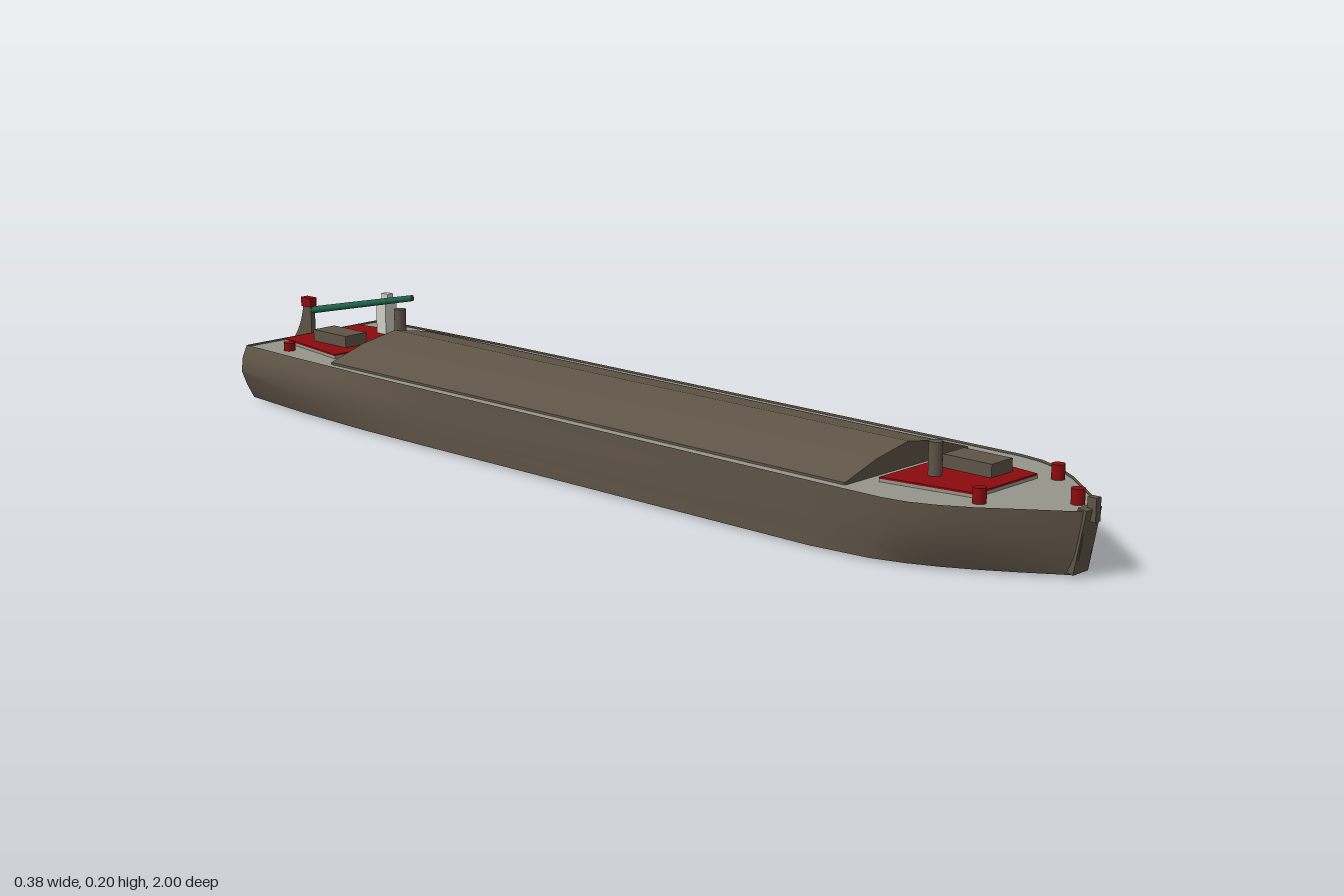
import * as THREE from 'three';
import { toCreasedNormals } from 'three/addons/utils/BufferGeometryUtils.js';

const mat = (name, color, side = THREE.FrontSide) => {
  const m = new THREE.MeshStandardMaterial({ color, side });
  m.name = name;
  return m;
};

export function createModel() {
  const group = new THREE.Group();
  const brown = mat('hullBrown', 0x5f5447, THREE.DoubleSide);
  const grey = mat('deckGrey', 0x95958b, THREE.DoubleSide);
  const red = mat('deckRed', 0x8c0b0f);
  const green = mat('tillerGreen', 0x1f604a);
  const white = mat('paleWhite', 0xcfcfc4);

  const add = (name, geo, material, x = 0, y = 0, z = 0) => {
    const m = new THREE.Mesh(geo, material);
    m.name = name;
    m.position.set(x, y, z);
    group.add(m);
    return m;
  };
  const box = (name, material, x0, x1, y0, y1, z0, z1) =>
    add(name, new THREE.BoxGeometry(x1 - x0, y1 - y0, z1 - z0), material,
      (x0 + x1) / 2, (y0 + y1) / 2, (z0 + z1) / 2);
  const post = (name, material, x, z, r, y0, y1) =>
    add(name, new THREE.CylinderGeometry(r, r, y1 - y0, 16), material, x, (y0 + y1) / 2, z);
  // flat outline given as [x, z], raised from y0 to y1
  const slab = (name, material, pts, y0, y1) => {
    const s = new THREE.Shape(pts.map(([x, z]) => new THREE.Vector2(x, -z)));
    const g = new THREE.ExtrudeGeometry(s, { depth: y1 - y0, bevelEnabled: false });
    return add(name, g.rotateX(-Math.PI / 2), material, 0, y0, 0);
  };

  // Hull stations: z and half width at the top, z and half width at the bottom, side bulge, centre shift
  const stations = [
    [-0.845, 0.169, -0.845, 0.155, 0.018, 0],
    [-0.67, 0.176, -0.67, 0.172, 0.013, 0],
    [-0.49, 0.181, -0.49, 0.181, 0.009, 0],
    [-0.30, 0.182, -0.30, 0.182, 0, 0],
    [0.58, 0.182, 0.58, 0.182, 0, 0],
    [0.72, 0.181, 0.69, 0.170, 0, 0],
    [0.765, 0.174, 0.75, 0.152, 0.003, 0],
    [0.81, 0.156, 0.80, 0.130, 0.004, 0],
    [0.86, 0.125, 0.85, 0.101, 0.004, -0.002],
    [0.91, 0.085, 0.90, 0.067, 0.003, -0.005],
    [0.96, 0.046, 0.94, 0.036, 0.002, -0.009],
    [0.99, 0.018, 0.968, 0.014, 0, -0.013],
  ];
  const base = 0.004, rim = 0.109;
  const levels = [1, 0.78, 0.53, 0.27, 0];
  const bulgeAt = [0, 0.7, 1, 0.55, 0];
  const n = levels.length * 2;
  const pos = [], idx = [];
  stations.forEach(([zt, wt, zb, wb, bulge, cx]) => {
    const half = levels.map((t, i) => {
      const e = Math.pow(t, 0.6);
      return [wb + (wt - wb) * e + bulge * bulgeAt[i], base + (rim - base) * t, zb + (zt - zb) * e];
    });
    half.forEach(([w, y, z]) => pos.push(cx + w, y, z));
    [...half].reverse().forEach(([w, y, z]) => pos.push(cx - w, y, z));
  });
  for (let s = 0; s < stations.length - 1; s++) {
    for (let i = 0; i < n - 1; i++) {
      const a = s * n + i, b = a + 1, c = a + n, d = c + 1;
      idx.push(a, c, b, b, c, d);
    }
  }
  // transom and bow end
  const last = (stations.length - 1) * n;
  for (let i = 0; i < n / 2 - 1; i++) {
    const a = i, b = i + 1, c = n - 1 - i, d = n - 2 - i;
    idx.push(a, b, c, b, d, c);
    idx.push(last + a, last + c, last + b, last + b, last + c, last + d);
  }
  const hull = new THREE.BufferGeometry();
  hull.setAttribute('position', new THREE.Float32BufferAttribute(pos, 3));
  hull.setIndex(idx);
  add('hull', toCreasedNormals(hull, 0.45), brown);

  // Deck just below the rim
  const edge = (side) => stations.map(([z, w, , , , cx]) =>
    [cx + side * (w - 0.003), Math.max(-0.842, Math.min(z, 0.984))]);
  slab('deck', grey, [...edge(1), ...edge(-1).reverse()], 0.102, 0.106);

  // Arched hatch cover
  const arch = [[-0.158, 0.104], [-0.158, 0.110], [-0.08, 0.134], [0, 0.148],
    [0.08, 0.134], [0.158, 0.110], [0.158, 0.104]];
  const cover = new THREE.ExtrudeGeometry(
    new THREE.Shape(arch.map(([x, y]) => new THREE.Vector2(x, y))),
    { depth: 1.235, bevelEnabled: false });
  add('hatchCover', cover, brown, 0, 0, -0.605);

  // Raised red platforms with pale sides
  const platform = (name, pts) => {
    slab(name + 'Base', grey, pts, 0.105, 0.111);
    slab(name + 'Top', red, pts, 0.111, 0.114);
  };
  platform('bowPlatform', [[-0.105, 0.655], [0.105, 0.655], [0.083, 0.82], [-0.079, 0.82]]);
  platform('sternPlatform', [[-0.122, -0.638], [0.122, -0.638], [0.092, -0.825], [-0.092, -0.825]]);

  // Deckhouses and chimneys
  box('bowDeckhouse', brown, 0.01, 0.065, 0.113, 0.136, 0.69, 0.785);
  box('sternDeckhouse', brown, -0.068, -0.016, 0.113, 0.136, -0.765, -0.67);
  post('bowChimney', brown, -0.035, 0.71, 0.0115, 0.113, 0.169);
  post('sternChimney', brown, 0.072, -0.672, 0.0115, 0.113, 0.169);

  // Pale steering stand
  box('steeringStand', white, 0.066, 0.095, 0.113, 0.174, -0.735, -0.708);
  box('steeringStandTop', white, 0.075, 0.089, 0.174, 0.192, -0.73, -0.712);

  // Bollards
  for (const [x, z] of [[-0.095, 0.84], [0.103, 0.845], [0.004, 0.95]])
    post('bowBollard', red, x, z, 0.011, 0.105, 0.131);
  for (const side of [-1, 1])
    post('sternBollard', red, side * 0.132, -0.76, 0.011, 0.105, 0.121);

  // Stem post at the bow
  box('stemPost', brown, -0.019, -0.006, 0.09, 0.128, 0.982, 0.998);
  const stem = box('stem', brown, -0.034, 0.006, 0.006, 0.112, 0.966, 0.982);
  stem.rotation.x = 0.19;

  // Pale opening across the transom
  const notch = new THREE.Shape([[-0.105, 0.106], [-0.08, 0.084], [0.08, 0.084], [0.105, 0.106]]
    .map(([x, y]) => new THREE.Vector2(x, y)));
  add('transomOpening', new THREE.ShapeGeometry(notch), grey, 0, 0, -0.847);

  // Rudder with a swept trailing edge
  const blade = new THREE.Shape();
  blade.moveTo(0.844, 0.006);
  blade.lineTo(0.95, 0);
  blade.lineTo(1.0, 0.005);
  blade.lineTo(0.99, 0.016);
  blade.quadraticCurveTo(0.875, 0.085, 0.868, 0.163);
  blade.lineTo(0.844, 0.163);
  const bladeGeo = new THREE.ExtrudeGeometry(blade, { depth: 0.01, bevelEnabled: false });
  add('rudder', bladeGeo.rotateY(Math.PI / 2), brown, -0.009, 0, 0);
  box('rudderCap', red, -0.012, 0.004, 0.160, 0.178, -0.87, -0.842);

  // Tiller bar
  const from = new THREE.Vector3(-0.004, 0.153, -0.85), to = new THREE.Vector3(0.074, 0.195, -0.637);
  const dir = to.clone().sub(from);
  const mid = from.clone().add(to).multiplyScalar(0.5);
  const tiller = add('tiller', new THREE.CylinderGeometry(0.006, 0.007, dir.length(), 12), green, mid.x, mid.y, mid.z);
  tiller.quaternion.setFromUnitVectors(new THREE.Vector3(0, 1, 0), dir.normalize());

  return group;
}
